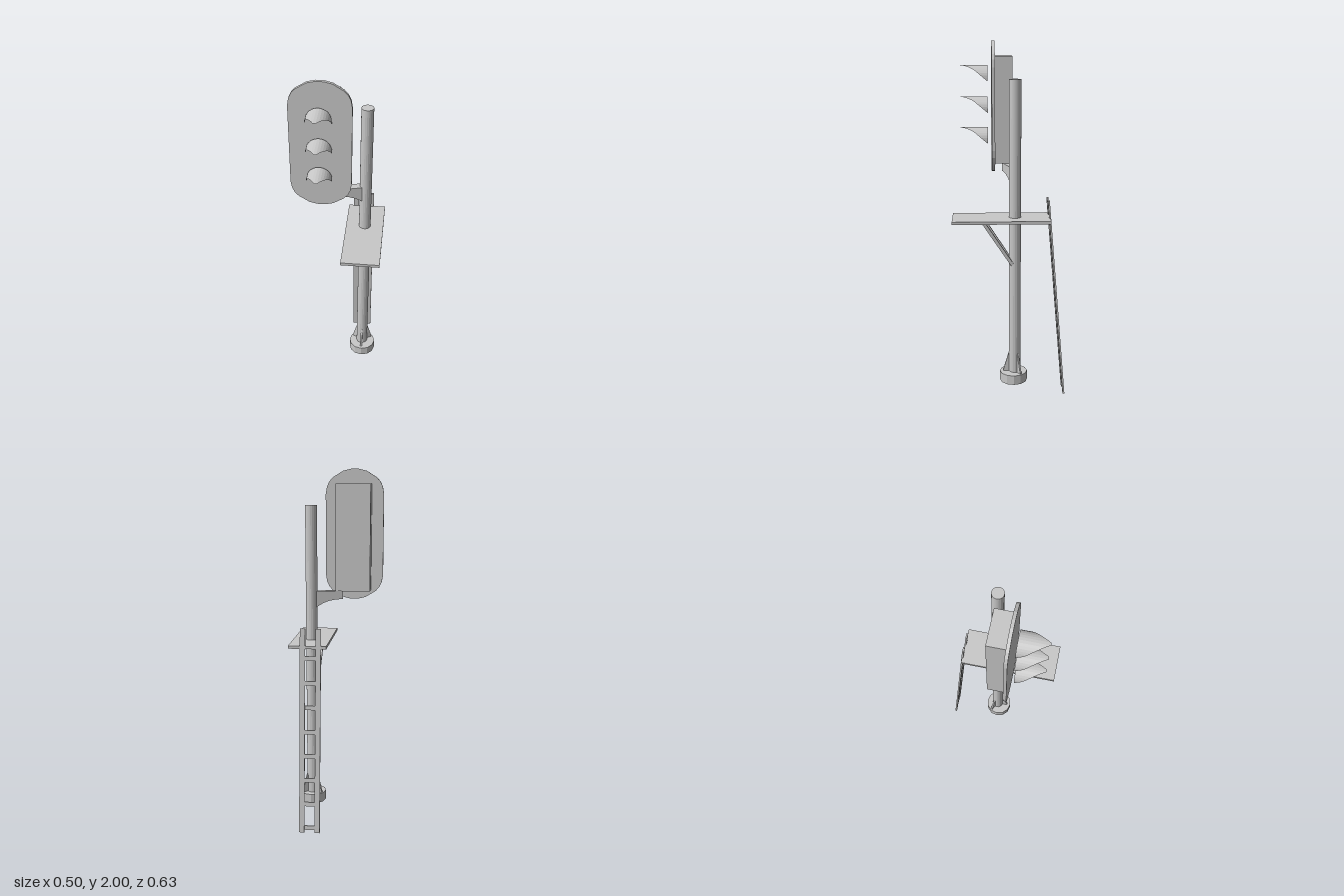
import * as THREE from 'three';

const MAST = new THREE.Vector3(0.144, 0, -0.029);
const HEAD_X = -0.087;

export function createModel() {
  const model = new THREE.Group();
  const steel = new THREE.MeshStandardMaterial({ color: 0xc8c8c8, side: THREE.DoubleSide });
  steel.name = 'light grey steel';

  const add = (name, geometry, x = 0, y = 0, z = 0, parent = model) => {
    const mesh = new THREE.Mesh(geometry, steel);
    mesh.name = name;
    mesh.position.set(x, y, z);
    parent.add(mesh);
    return mesh;
  };
  const box = (name, w, h, d, x, y, z, parent) =>
    add(name, new THREE.BoxGeometry(w, h, d), x, y, z, parent);
  // Extruded outline, centred on its thickness
  const slab = (points, depth) => {
    const shape = new THREE.Shape(points.map(([x, y]) => new THREE.Vector2(x, y)));
    return new THREE.ExtrudeGeometry(shape, { depth, bevelEnabled: false }).translate(0, 0, -depth / 2);
  };

  // Mast and hollow foot, open underneath
  add('mast', faceted(new THREE.CylinderGeometry(0.033, 0.033, 1.67, 20)), MAST.x, 0.97, MAST.z);
  add('footRing', faceted(new THREE.CylinderGeometry(0.078, 0.078, 0.055, 12, 1, true)), MAST.x + 0.002, 0.1075, -0.022);
  add('footTop', new THREE.CircleGeometry(0.078, 12).rotateX(-Math.PI / 2), MAST.x + 0.002, 0.135, -0.022);

  // Three gusset fins around the mast
  for (let i = 0; i < 3; i++) {
    const fin = add('footFin', slab([[0.025, 0.13], [0.065, 0.13], [0.065, 0.145], [0.034, 0.25], [0.025, 0.25]], 0.01),
      MAST.x, 0, MAST.z);
    fin.rotation.y = -Math.PI / 2 + (i * 2 * Math.PI) / 3;
  }

  // Service platform with two diagonal braces
  box('platform', 0.211, 0.016, 0.539, 0.1435, 1.046, 0.047);
  for (const side of [-1, 1]) {
    const low = new THREE.Vector3(MAST.x + side * 0.028, 0.787, -0.014);
    const high = new THREE.Vector3(MAST.x + side * 0.04, 1.038, 0.15);
    const brace = box('platformBrace', 0.015, low.distanceTo(high), 0.018, 0, 0, 0);
    brace.position.copy(low).add(high).multiplyScalar(0.5);
    brace.quaternion.setFromUnitVectors(new THREE.Vector3(0, 1, 0), high.clone().sub(low).normalize());
  }

  // Leaning ladder
  const ladder = new THREE.Group();
  ladder.name = 'ladder';
  ladder.position.set(0.1245, 0, -0.313);
  ladder.rotation.x = Math.atan2(0.1, 1.15);
  model.add(ladder);
  for (const side of [-1, 1]) box('ladderRail', 0.029, 1.154, 0.01, side * 0.0435, 0.577, 0, ladder);
  for (let i = 0; i < 8; i++) box('ladderRung', 0.06, 0.024, 0.008, 0, 0.028 + i * 0.1375, 0, ladder);

  // Curved bracket carrying the signal head
  const arm = add('headBracket', slab([
    [0.02, 1.33], [0.02, 1.24], [0.035, 1.247], [0.06, 1.262], [0.095, 1.275], [0.135, 1.282], [0.175, 1.284], [0.175, 1.33],
  ], 0.043), MAST.x, 0, MAST.z);
  arm.rotation.y = Math.PI + Math.PI / 12;

  // Signal head: housing and backing plate with softened corners
  box('headHousing', 0.192, 0.59, 0.097, HEAD_X, 1.625, 0.0285);
  const corner = [[0.163, 0.225], [0.156, 0.266], [0.143, 0.294], [0.122, 0.317], [0.065, 0.352], [0.022, 0.3625]];
  const mirrored = corner.map(([x, y]) => [-x, y]).reverse();
  const upper = [...corner, ...mirrored];
  const lower = upper.map(([x, y]) => [-x, -y]);
  add('backingPlate', slab([...upper, ...lower], 0.018), HEAD_X, 1.6375, 0.086);

  // Lamp visors: arched sheets cut back to a forward tip
  const visor = visorGeometry();
  for (const top of [1.868, 1.695, 1.523]) add('lampVisor', visor, HEAD_X - 0.005, top, 0);

  return model;
}

// Flat-faced version of a geometry
function faceted(geometry) {
  const flat = geometry.toNonIndexed();
  flat.computeVertexNormals();
  return flat;
}

function visorGeometry() {
  const R = 0.067, BACK = 0.116, HEIGHT = 0.086;
  // Forward reach against depth below the crown
  const cut = [[0, 0.27], [0.0004, 0.27], [0.0033, 0.245], [0.011, 0.216], [0.0247, 0.19], [HEIGHT, BACK]];
  const reach = (drop) => {
    const i = Math.max(1, cut.findIndex(([d]) => drop <= d));
    const [d0, z0] = cut[i - 1], [d1, z1] = cut[i];
    return z0 + ((z1 - z0) * (drop - d0)) / (d1 - d0);
  };
  const arch = [[-R, HEIGHT]];
  for (let i = 0; i <= 15; i++) {
    const a = -Math.PI / 2 + (Math.PI * i) / 15;
    arch.push([R * Math.sin(a), R * (1 - Math.cos(a))]);
  }
  arch.push([R, HEIGHT]);

  const positions = [], indices = [];
  arch.forEach(([x, drop], i) => {
    positions.push(x, -drop, BACK, x, -drop, reach(drop));
    if (i) {
      const a = 2 * i - 2;
      indices.push(a, a + 1, a + 2, a + 1, a + 3, a + 2);
    }
  });
  const geometry = new THREE.BufferGeometry();
  geometry.setAttribute('position', new THREE.Float32BufferAttribute(positions, 3));
  geometry.setIndex(indices);
  return faceted(geometry);
}
